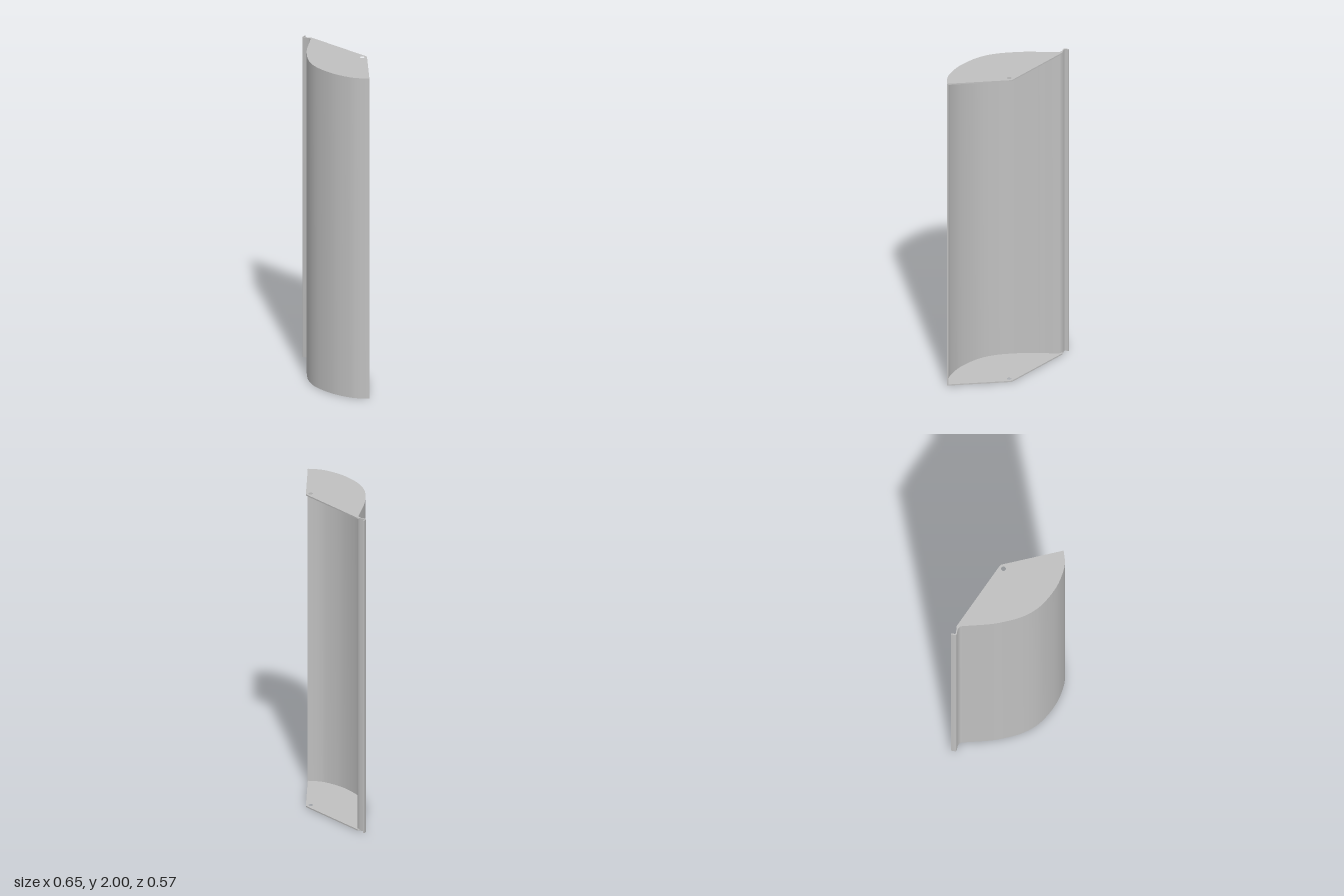
import * as THREE from 'three';
import { toCreasedNormals } from 'three/addons/utils/BufferGeometryUtils.js';

const HEIGHT = 2, PLATE = 0.008, WALL = 0.007;

// Extrude an (x, z) outline upwards from y0
function prism(shape, y0, height) {
  const geo = new THREE.ExtrudeGeometry(shape, { depth: height, bevelEnabled: false, curveSegments: 8 });
  geo.rotateX(Math.PI / 2);
  geo.translate(0, y0 + height, 0);
  return toCreasedNormals(geo, 0.5);
}

export function createModel() {
  const group = new THREE.Group();
  const grey = new THREE.MeshStandardMaterial({ color: 0xc0c0c0 });
  grey.name = 'satin grey';
  const add = (name, geo) => {
    const mesh = new THREE.Mesh(geo, grey);
    mesh.name = name;
    group.add(mesh);
  };
  const v = (x, z) => new THREE.Vector2(x, z);

  // Outer face of the curved panel, from the bend to the free edge
  const curve = new THREE.SplineCurve([
    v(-0.288, -0.252), v(-0.273, -0.247), v(-0.262, -0.232), v(-0.24, -0.155),
    v(-0.215, -0.07), v(-0.187, 0), v(-0.137, 0.096), v(-0.075, 0.17), v(0, 0.222),
    v(0.1, 0.265), v(0.2, 0.282), v(0.26, 0.278), v(0.323, 0.257),
  ]).getPoints(72);

  // Flange and turned-back lip continue the panel at its hinge side
  const outer = [
    v(-0.324, -0.284), v(-0.324, -0.258), v(-0.322, -0.254), v(-0.318, -0.252), ...curve,
  ];
  const inner = outer.map((p, i) => {
    const a = outer[Math.max(i - 1, 0)], b = outer[Math.min(i + 1, outer.length - 1)];
    const t = b.clone().sub(a).normalize();
    return v(p.x + t.y * WALL, p.y - t.x * WALL);
  });
  add('curvedPanel', prism(new THREE.Shape([...outer, ...inner.reverse()]), 0.001, HEIGHT - 0.002));

  // End plates: curved front, rounded pivot corner and a pivot hole
  const plate = new THREE.Shape(curve.slice(3));
  plate.lineTo(0.167, -0.074);
  plate.quadraticCurveTo(0.162, -0.088, 0.15, -0.093);
  plate.lineTo(-0.268, -0.263);
  plate.lineTo(-0.282, -0.259);
  const hole = new THREE.Path();
  hole.absarc(0.14, -0.066, 0.014, 0, Math.PI * 2, true);
  plate.holes.push(hole);
  add('bottomPlate', prism(plate, 0, PLATE));
  add('topPlate', prism(plate, HEIGHT - PLATE, PLATE));

  return group;
}
